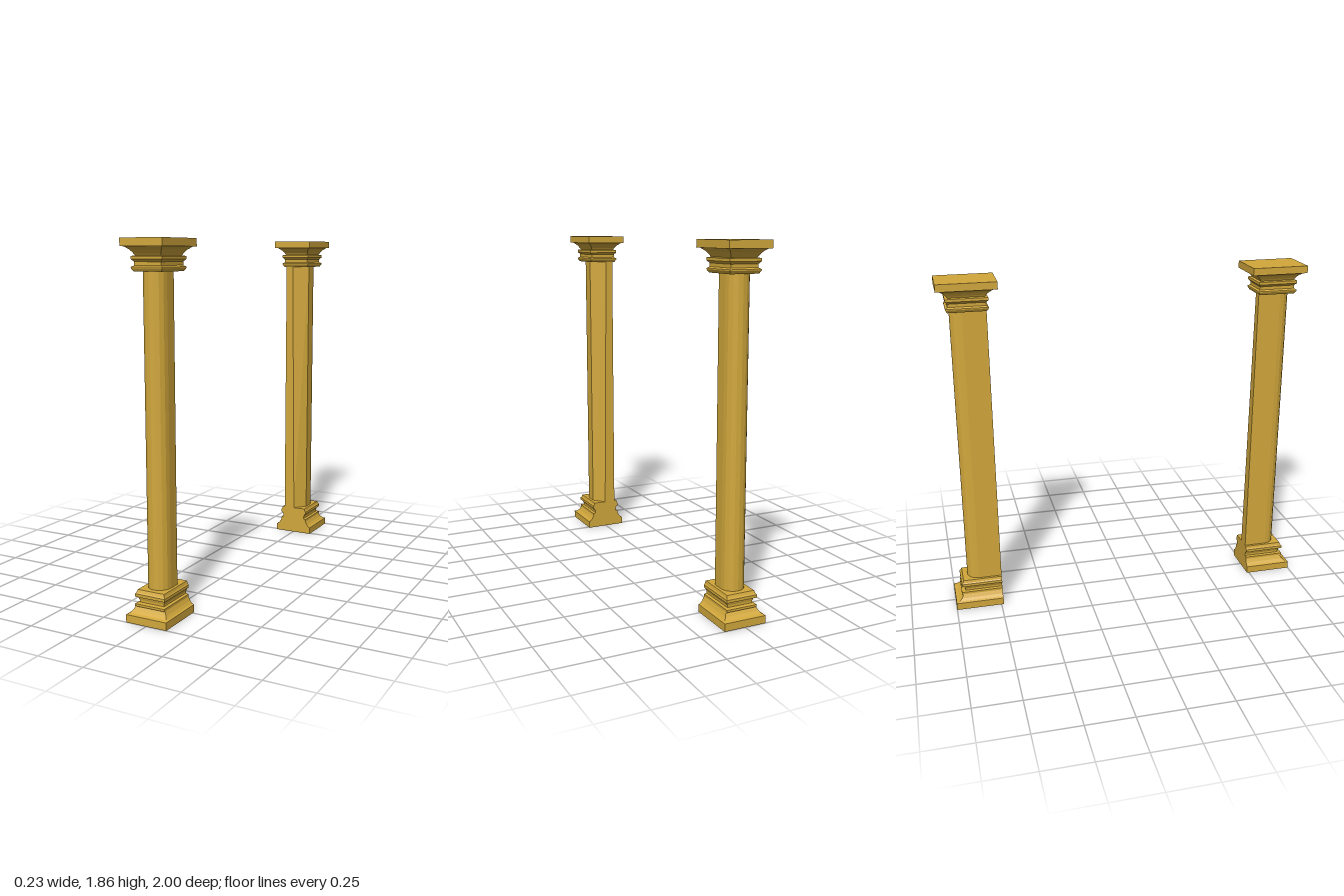
import * as THREE from 'three';

const gold = new THREE.MeshStandardMaterial({ color: 0xd2a83c, flatShading: true });
gold.name = 'gold';

// Closed solid through stacked sections: each { y, pts: [[x, z], ...] }, counter-clockwise from above.
function loft(sections, side) {
  const rings = sections.map(({ y, pts }) => {
    const ring = pts.map(([x, z]) => [x, y, z * side]);
    return side < 0 ? ring.reverse() : ring;
  });
  const pos = [];
  const tri = (a, b, c) => pos.push(...a, ...b, ...c);
  const n = rings[0].length;
  for (let k = 0; k < rings.length - 1; k++) {
    for (let i = 0; i < n; i++) {
      const j = (i + 1) % n;
      const lo = rings[k], hi = rings[k + 1];
      tri(lo[i], lo[j], hi[j]);
      tri(lo[i], hi[j], hi[i]);
    }
  }
  const bottom = rings[0], top = rings[rings.length - 1];
  for (let i = 1; i < n - 1; i++) {
    tri(bottom[0], bottom[i + 1], bottom[i]);
    tri(top[0], top[i], top[i + 1]);
  }
  const geo = new THREE.BufferGeometry();
  geo.setAttribute('position', new THREE.Float32BufferAttribute(pos, 3));
  geo.computeVertexNormals();
  return geo;
}

// Rectangular section: height, half width, inner z, outer z
const rect = ([y, hx, zi, zo]) => ({ y, pts: [[-hx, zi], [-hx, zo], [hx, zo], [hx, zi]] });

// Shaft section: straight side, rounded outer face, slanted inner corner
function shaftSection(y, cornerX) {
  const pts = [[-0.062, 0.737]];
  for (let i = 0; i <= 8; i++) {
    const a = (i / 8) * Math.PI;
    pts.push([-0.061 * Math.cos(a) - 0.001, 0.863 + 0.062 * Math.sin(a)]);
  }
  pts.push([0.06, 0.803], [cornerX, 0.737]);
  return { y, pts };
}

// Base mouldings, cut flat on the inner side
const baseProfile = [
  [0, 0.115, 1.0], [0.04, 0.115, 1.0], [0.046, 0.104, 0.982], [0.058, 0.094, 0.968],
  [0.074, 0.086, 0.958], [0.078, 0.084, 0.966], [0.09, 0.084, 0.966], [0.094, 0.07, 0.945],
  [0.105, 0.07, 0.945], [0.122, 0.078, 0.95], [0.125, 0.085, 0.964], [0.14, 0.085, 0.964],
  [0.146, 0.08, 0.958], [0.16, 0.076, 0.952],
].map(([y, hx, zo]) => rect([y, hx, 0.737, zo]));

// Capital mouldings and top slab, running round all four sides
const capitalProfile = [
  [1.7, 0.076, 0.736, 0.936], [1.715, 0.085, 0.727, 0.945], [1.721, 0.085, 0.727, 0.945],
  [1.728, 0.074, 0.738, 0.934], [1.745, 0.074, 0.738, 0.934], [1.757, 0.085, 0.727, 0.945],
  [1.771, 0.085, 0.727, 0.945], [1.774, 0.07, 0.742, 0.93], [1.785, 0.076, 0.736, 0.938],
  [1.8, 0.086, 0.72, 0.95], [1.815, 0.104, 0.7, 0.972], [1.816, 0.115, 0.68, 0.99],
  [1.855, 0.115, 0.68, 0.99],
].map(rect);

const shaftProfile = [shaftSection(0.15, 0.003), shaftSection(1.71, -0.02)];

export function createModel() {
  const model = new THREE.Group();
  model.name = 'columnPair';
  for (const side of [1, -1]) {
    const column = new THREE.Group();
    column.name = side > 0 ? 'frontColumn' : 'backColumn';
    const parts = { base: baseProfile, shaft: shaftProfile, capital: capitalProfile };
    for (const [name, profile] of Object.entries(parts)) {
      const mesh = new THREE.Mesh(loft(profile, side), gold);
      mesh.name = name;
      column.add(mesh);
    }
    model.add(column);
  }
  return model;
}
